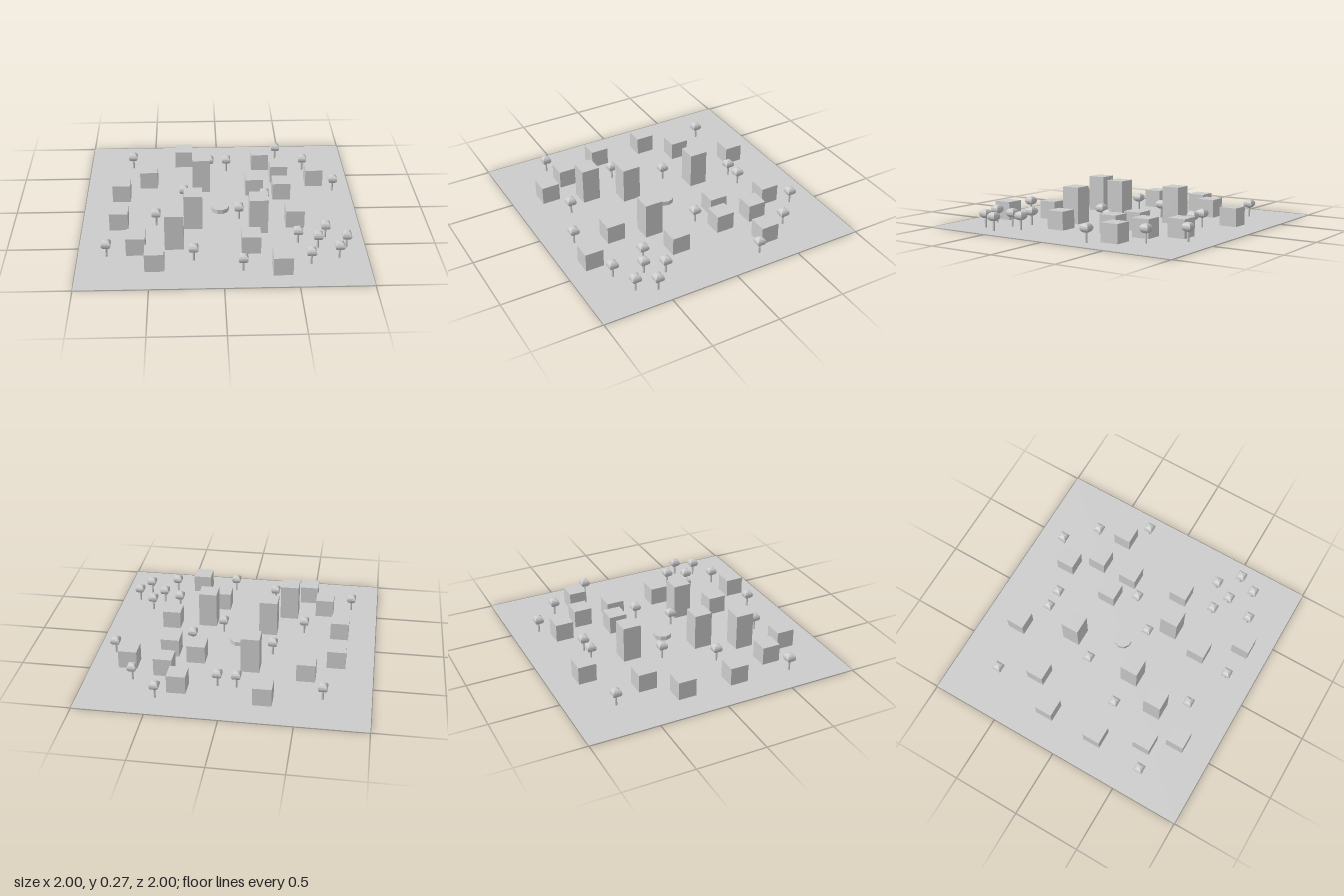
import * as THREE from 'three';

const U = 2 / 30; // one cell of the 30 x 30 town grid
const GROUND = 0.003;

// [x, z] in grid cells
const LOW = [[-4, -11], [5, -10], [-8, -6], [7, -7], [11, -6], [4, -4], [-11, -3], [7, -3], [-11, 3],
  [8, 3], [-9, 8], [3, 8], [-7, 11], [6, 12]];
const TALL = [[-2, -5], [-3, 3], [4, 4], [-5, 7]];
const TREES = [[-10, -10], [7, -12], [-1, -9], [1, -9], [10, -9], [13, -4], [-4, -2], [5, -1], [2, 2],
  [-7, 3], [11, 6], [8, 7], [10, 8], [13, 8], [-12, 9], [-3, 10], [2, 12], [9, 11], [12, 10]];

export function createModel() {
  const model = new THREE.Group();
  const mat = new THREE.MeshStandardMaterial({ color: 0xcccccc, flatShading: true });

  const add = (parent, name, geo, x, y, z) => {
    const mesh = new THREE.Mesh(geo, mat);
    mesh.name = name;
    mesh.position.set(x, y, z);
    parent.add(mesh);
    return mesh;
  };

  // Thin ground slab
  add(model, 'ground', new THREE.BoxGeometry(2, GROUND, 2), 0, GROUND / 2, 0);

  // Buildings, two cells wide and two or four cells high
  const buildings = (name, cells, h) => {
    const geo = new THREE.BoxGeometry(2 * U, h * U, 2 * U);
    for (const [x, z] of cells) add(model, name, geo, x * U, GROUND + h * U / 2, z * U);
  };
  buildings('house', LOW, 2);
  buildings('tower', TALL, 4);

  // Ten-sided basin in the middle, with corners on the x axis
  const basin = new THREE.CylinderGeometry(U, U, U / 2, 10).rotateY(Math.PI / 2);
  add(model, 'basin', basin, 0, GROUND + U / 4, 0);

  // Trees: thin trunk under a four-sided rounded crown
  const trunk = new THREE.CylinderGeometry(0.008, 0.008, 1.2 * U, 8);
  const crown = new THREE.SphereGeometry(U / 2, 4, 8).rotateY(Math.PI / 4).scale(Math.SQRT2, 1, Math.SQRT2);
  for (const [x, z] of TREES) {
    const tree = new THREE.Group();
    tree.name = 'tree';
    tree.position.set(x * U, GROUND, z * U);
    add(tree, 'trunk', trunk, 0, 0.6 * U, 0);
    add(tree, 'crown', crown, 0, 1.5 * U, 0);
    model.add(tree);
  }
  return model;
}
